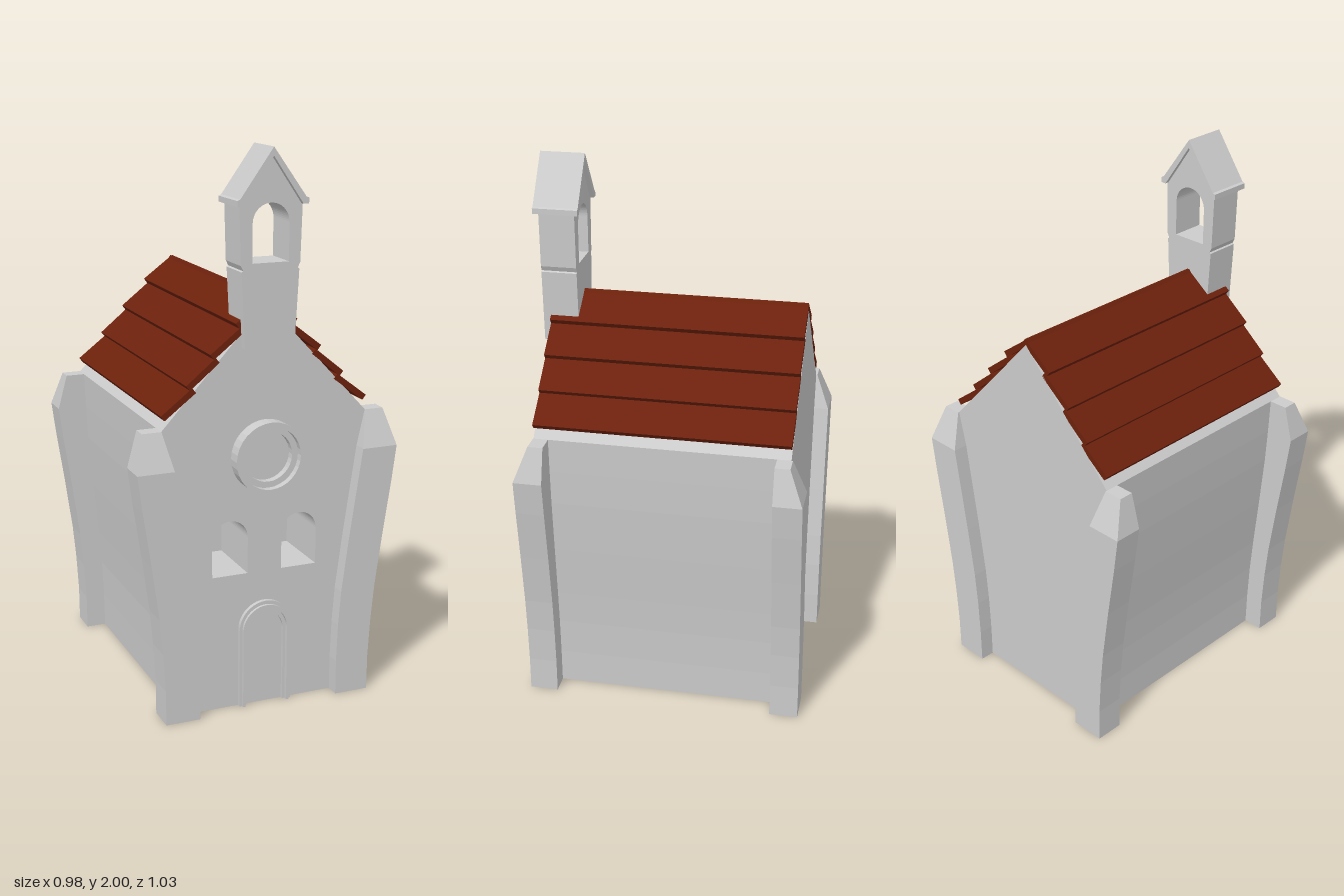
import * as THREE from 'three';

const grey = new THREE.MeshStandardMaterial({ color: 0xcccccc, flatShading: true });
const rust = new THREE.MeshStandardMaterial({ color: 0x6c210c, flatShading: true });
const SEGMENTS = 16;

function polygon(points) {
  return new THREE.Shape(points.map(([x, y]) => new THREE.Vector2(x, y)));
}

// Mirrors a right-hand outline (bottom to top) into a closed symmetric polygon
function symmetric(half) {
  const left = half.filter(([x]) => x > 0).map(([x, y]) => [-x, y]).reverse();
  return polygon([...half, ...left]);
}

// Round-headed opening: centre x, sill, half width, overall top
function arch(Type, cx, sill, r, top) {
  const p = new Type();
  p.moveTo(cx - r, sill);
  p.lineTo(cx + r, sill);
  p.lineTo(cx + r, top - r);
  p.absarc(cx, top - r, r, 0, Math.PI, false);
  p.closePath();
  return p;
}

// Round-headed band with two legs, open at the ground
function archBand(ro, topO, ri, topI) {
  const s = new THREE.Shape();
  s.moveTo(ri, 0);
  s.lineTo(ro, 0);
  s.lineTo(ro, topO - ro);
  s.absarc(0, topO - ro, ro, 0, Math.PI, false);
  s.lineTo(-ro, 0);
  s.lineTo(-ri, 0);
  s.lineTo(-ri, topI - ri);
  s.absarc(0, topI - ri, ri, Math.PI, 0, true);
  s.closePath();
  return s;
}

function circle(Type, y, r) {
  const p = new Type();
  p.absarc(0, y, r, 0, Math.PI * 2, false);
  return p;
}

function part(name, geometry, material = grey) {
  const m = new THREE.Mesh(geometry, material);
  m.name = name;
  return m;
}

function extrude(shape, z0, z1) {
  const g = new THREE.ExtrudeGeometry(shape, { depth: z1 - z0, bevelEnabled: false, curveSegments: SEGMENTS });
  return g.translate(0, 0, z0);
}

// Extrusion without its end caps
function sides(shape, z0, z1) {
  const full = extrude(shape, z0, z1);
  const { start, count } = full.groups[1];
  const g = new THREE.BufferGeometry();
  const p = full.attributes.position.array.slice(start * 3, (start + count) * 3);
  g.setAttribute('position', new THREE.BufferAttribute(p, 3));
  g.computeVertexNormals();
  return g;
}

// Flat face towards the front
function face(shape, z) {
  return new THREE.ShapeGeometry(shape, SEGMENTS).translate(0, 0, z);
}

// Corner buttress: rectangular sections [y, inner x, outer x, outer z] joined upwards
function buttress(name, sx, sz) {
  const rows = [
    [0, 0.267, 0.395, 0.515], [0.13, 0.267, 0.396, 0.515], [0.27, 0.272, 0.404, 0.515],
    [0.4, 0.282, 0.416, 0.515], [0.6, 0.308, 0.443, 0.515], [0.8, 0.337, 0.473, 0.515],
    [0.93, 0.356, 0.49, 0.515], [1.06, 0.385, 0.455, 0.465],
  ];
  const pos = [], idx = [];
  const quad = (a, b, c, d) => (sx * sz > 0 ? idx.push(a, b, c, a, c, d) : idx.push(a, c, b, a, d, c));
  rows.forEach(([y, xi, xo, zo], i) => {
    [[xi, 0.41], [xi, zo], [xo, zo], [xo, 0.41]].forEach(([x, z]) => pos.push(sx * x, y, sz * z));
    if (i === 0) return;
    const b = (i - 1) * 4;
    for (let k = 0; k < 4; k++) {
      const n = (k + 1) % 4;
      quad(b + k, b + n, b + 4 + n, b + 4 + k);
    }
  });
  const t = (rows.length - 1) * 4;
  quad(t, t + 1, t + 2, t + 3);
  quad(3, 2, 1, 0);
  const g = new THREE.BufferGeometry();
  g.setAttribute('position', new THREE.Float32BufferAttribute(pos, 3));
  g.setIndex(idx);
  g.computeVertexNormals();
  return part(name, g);
}

function createModel() {
  const model = new THREE.Group();
  model.name = 'chapel';

  // Flared hall with a gable; deep windows are sunk into the front
  const half = [[0.32, 0], [0.322, 0.13], [0.328, 0.27], [0.338, 0.4], [0.356, 0.6],
    [0.373, 0.8], [0.38, 0.93], [0.385, 1.06], [0, 1.475]];
  const plain = symmetric(half), pierced = symmetric(half);
  for (const s of [-1, 1]) {
    const opening = [s * 0.1325, 0.505, 0.0675, 0.707];
    pierced.holes.push(arch(THREE.Path, ...opening));
    model.add(part('windowBack', face(arch(THREE.Shape, ...opening), 0.22)));
  }
  model.add(part('hallSides', sides(plain, -0.46, 0.22)));
  model.add(part('hallFrontSides', sides(pierced, 0.22, 0.463)));
  model.add(part('frontWall', face(pierced, 0.463)));
  model.add(part('backWall', face(plain, 0.46).rotateY(Math.PI)));

  // Corner buttresses
  for (const sx of [-1, 1]) {
    for (const sz of [-1, 1]) {
      model.add(buttress(`${sz > 0 ? 'front' : 'back'}${sx > 0 ? 'Left' : 'Right'}Buttress`, sx, sz));
    }
  }

  // Stepped door surround against the wall
  const door = new THREE.Group();
  door.name = 'doorway';
  const steps = [[0.1, 0.395], [0.09, 0.382], [0.08, 0.368], [0.07, 0.35]];
  [0.478, 0.488, 0.474].forEach((z, i) => {
    door.add(part('doorSurround', extrude(archBand(...steps[i], ...steps[i + 1]), 0.46, z)));
  });
  model.add(door);

  // Round window with stepped rim
  const rose = new THREE.Group();
  rose.name = 'roundWindow';
  [[0.13, 0.112, 0.515], [0.112, 0.09, 0.49]].forEach(([ro, ri, z]) => {
    const ring = circle(THREE.Shape, 0.935, ro);
    ring.holes.push(circle(THREE.Path, 0.935, ri));
    rose.add(part('windowRim', extrude(ring, 0.46, z)));
  });
  model.add(rose);

  // Four overlapping roof boards per side
  const roof = new THREE.Group();
  roof.name = 'roof';
  const boards = [[0.38, 1.105, 0.266, 1.192], [0.288, 1.201, 0.18, 1.289],
    [0.2, 1.301, 0.083, 1.392], [0.108, 1.401, -0.01, 1.488]];
  for (const s of [-1, 1]) {
    for (const [x0, y0, x1, y1] of boards) {
      const dx = x0 - x1, dy = y0 - y1;
      const board = part('roofBoard', new THREE.BoxGeometry(Math.hypot(dx, dy), 0.022, 0.925), rust);
      board.position.set(s * (x0 + x1) / 2, (y0 + y1) / 2, 0.0025);
      board.rotation.z = s * Math.atan2(dy, dx);
      roof.add(board);
    }
  }
  model.add(roof);

  // Bell tower: flared shaft with a small side ledge, open belfry and pitched cap
  const tower = new THREE.Group();
  tower.name = 'bellTower';
  const shaft = symmetric([[0.092, 1.325], [0.106, 1.588], [0.1, 1.592], [0.109, 1.61],
    [0.115, 1.812], [0, 1.975]]);
  shaft.holes.push(arch(THREE.Path, 0, 1.615, 0.067, 1.815));
  tower.add(part('shaft', extrude(shaft, 0.362, 0.492)));
  const cap = polygon([[0.11, 1.808], [0.13, 1.808], [0.13, 1.828], [0.12, 1.832], [0, 2],
    [-0.12, 1.832], [-0.13, 1.828], [-0.13, 1.808], [-0.11, 1.808], [0, 1.97]]);
  tower.add(part('towerCap', extrude(cap, 0.347, 0.51)));
  model.add(tower);

  return model;
}

export { createModel };
